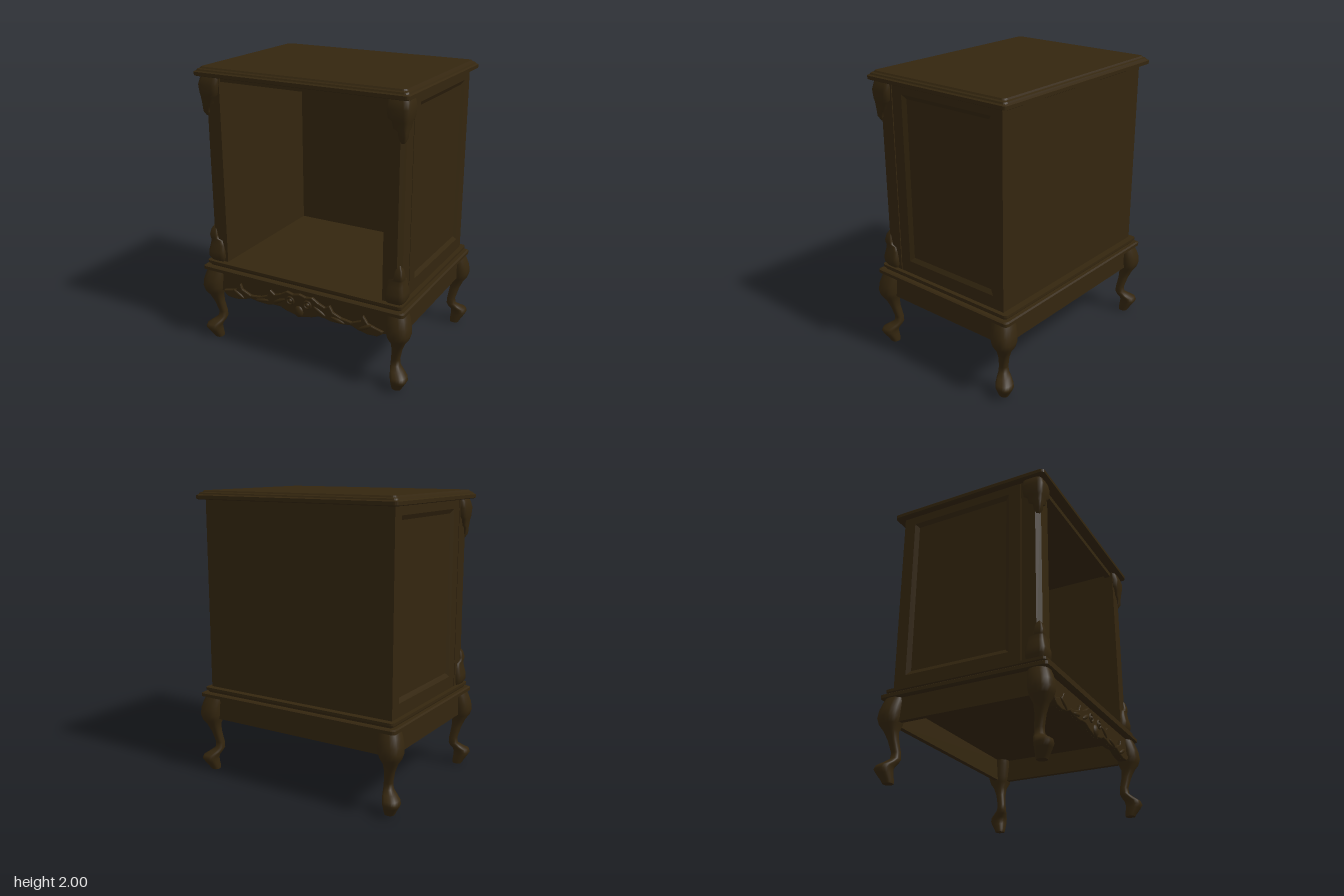
import * as THREE from 'three';

const wood = new THREE.MeshStandardMaterial({ color: 0x34260f });
wood.name = 'dark brown wood';

// Surface through rings of [x, y, z] points, optionally capped.
function loft(rings, { caps = true, flat = false } = {}) {
  const n = rings[0].length, pos = rings.flat(2), index = [];
  for (let k = 0; k < rings.length - 1; k++) {
    for (let j = 0; j < n; j++) {
      const a = k * n + j, b = k * n + (j + 1) % n;
      index.push(a, a + n, b, b, a + n, b + n);
    }
  }
  if (caps) {
    [rings[0], rings[rings.length - 1]].forEach((ring, top) => {
      const start = pos.length / 3;
      const mid = [0, 1, 2].map(i => ring.reduce((s, p) => s + p[i], 0) / n);
      pos.push(...ring.flat(), ...mid);
      for (let j = 0; j < n; j++) {
        const a = start + j, b = start + (j + 1) % n;
        if (top) index.push(start + n, b, a); else index.push(start + n, a, b);
      }
    });
  }
  let g = new THREE.BufferGeometry();
  g.setAttribute('position', new THREE.Float32BufferAttribute(pos, 3));
  g.setIndex(index);
  if (flat) g = g.toNonIndexed();
  g.computeVertexNormals();
  return g;
}

// Rounded rectangle ring for mouldings.
function rectRing(hx, hz, y, r = 0.025) {
  const out = [];
  for (let q = 0; q < 4; q++) {
    const sx = q === 0 || q === 3 ? 1 : -1, sz = q < 2 ? 1 : -1;
    for (let i = 0; i <= 4; i++) {
      const t = (q + i / 4) * Math.PI / 2;
      out.push([sx * (hx - r) + r * Math.cos(t), y, sz * (hz - r) + r * Math.sin(t)]);
    }
  }
  return out;
}

// Corner solid from [y, inner, outer] rows; power sets how square the section is.
function cornerLoft(rows, sx, sz, power) {
  const bend = v => Math.sign(v) * Math.pow(Math.abs(v), 2 / power);
  return loft(rows.map(([y, inner, outer]) => {
    const c = (inner + outer) / 2, r = (outer - inner) / 2, ring = [];
    for (let j = 0; j < 20; j++) {
      const t = j / 20 * Math.PI * 2;
      ring.push([sx * c + r * bend(Math.cos(t)), y, sz * (c - 0.2) + r * bend(Math.sin(t))]);
    }
    return ring;
  }));
}

const LEG = [[0, 0.69, 0.755], [0.02, 0.688, 0.765], [0.06, 0.69, 0.79], [0.085, 0.69, 0.803],
  [0.11, 0.685, 0.795], [0.135, 0.672, 0.76], [0.16, 0.665, 0.73], [0.2, 0.667, 0.725],
  [0.28, 0.678, 0.745], [0.34, 0.678, 0.77], [0.38, 0.66, 0.798], [0.42, 0.65, 0.81],
  [0.47, 0.645, 0.805], [0.52, 0.64, 0.79], [0.555, 0.64, 0.775]];
const UPPER_LEAF = [[1.67, 0.7, 0.725], [1.7, 0.69, 0.742], [1.74, 0.685, 0.745], [1.76, 0.652, 0.75],
  [1.8, 0.645, 0.755], [1.82, 0.617, 0.762], [1.88, 0.607, 0.768], [1.92, 0.607, 0.758], [1.94, 0.607, 0.75]];
const LOWER_LEAF = [[0.62, 0.63, 0.745], [0.65, 0.622, 0.762], [0.69, 0.622, 0.762], [0.74, 0.63, 0.75],
  [0.775, 0.642, 0.744], [0.785, 0.675, 0.745], [0.81, 0.68, 0.748], [0.85, 0.688, 0.738], [0.88, 0.7, 0.72]];

// Scalloped apron edge and the carved relief's upper edge, right half.
const SCALLOP = [[0, 0.357], [0.05, 0.368], [0.1, 0.378], [0.15, 0.398], [0.2, 0.397], [0.25, 0.386],
  [0.33, 0.388], [0.4, 0.398], [0.45, 0.378], [0.52, 0.364], [0.59, 0.368], [0.62, 0.388], [0.65, 0.395]];
const CREST = [[0.63, 0.41], [0.57, 0.425], [0.52, 0.44], [0.485, 0.49], [0.47, 0.45], [0.4, 0.42],
  [0.32, 0.43], [0.26, 0.455], [0.235, 0.5], [0.2, 0.475], [0.15, 0.495], [0.1, 0.525], [0.05, 0.515], [0, 0.528]];

function mirroredShape(half) {
  const left = half.filter(p => p[0] > 0).reverse().map(([x, y]) => [-x, y]);
  return new THREE.Shape([...half, ...left].map(p => new THREE.Vector2(...p)));
}

export function createModel() {
  const model = new THREE.Group();
  model.name = 'nightstand';
  const add = (name, geometry, parent = model) => {
    const m = new THREE.Mesh(geometry, wood);
    m.name = name;
    parent.add(m);
    return m;
  };
  const box = (name, x0, x1, y0, y1, z0, z1) => add(name, new THREE.BoxGeometry(x1 - x0, y1 - y0, z1 - z0)
    .translate((x0 + x1) / 2, (y0 + y1) / 2, (z0 + z1) / 2));
  // Rows of [half width, y]; depth is inset by the same amount.
  const moulding = (name, rows) =>
    add(name, loft(rows.map(([h, y]) => rectRing(h, h - 0.19, y)), { flat: true }));

  moulding('tabletop', [[0.765, 1.94], [0.775, 1.945], [0.775, 1.968], [0.763, 1.975], [0.758, 1.985], [0.745, 1.99], [0.738, 2]]);
  moulding('upperBaseMoulding', [[0.745, 0.58], [0.75, 0.595], [0.76, 0.602], [0.76, 0.62]]);
  moulding('lowerBaseMoulding', [[0.765, 0.55], [0.783, 0.556], [0.783, 0.578], [0.772, 0.585]]);

  // Open cabinet shell
  box('backPanel', -0.73, 0.73, 0.62, 1.94, -0.525, -0.5);
  box('ceiling', -0.61, 0.61, 1.925, 1.942, -0.5, 0.5);
  box('topRail', -0.61, 0.61, 1.905, 1.942, 0.47, 0.515);

  for (const sx of [-1, 1]) {
    const side = sx > 0 ? 'left' : 'right';
    const inner = sx * 0.605, outer = sx * 0.712;
    box(side + 'Wall', Math.min(inner, outer), Math.max(inner, outer), 0.62, 1.94, -0.5, 0.42);

    // Front post with a chamfered outer corner
    const post = [[0.605, 0.4], [0.73, 0.4], [0.73, 0.5], [0.703, 0.53], [0.605, 0.53]];
    if (sx < 0) post.reverse();
    add(side + 'Post', loft([0.62, 1.94].map(y => post.map(([x, z]) => [sx * x, y, z])), { flat: true }));

    // Side frame around a sunken panel with sloping edges
    const rect = (z0, z1, y0, y1) => {
      const u = [-sx * z0, -sx * z1].sort((a, b) => a - b);
      return [[u[0], y0], [u[1], y0], [u[1], y1], [u[0], y1]];
    };
    const toPath = (pts, Type) => new Type(pts.map(p => new THREE.Vector2(...p)));
    const hole = rect(-0.44, 0.31, 0.71, 1.88), sunk = rect(-0.41, 0.28, 0.74, 1.85);
    const frame = toPath(rect(-0.525, 0.393, 0.62, 1.94), THREE.Shape);
    frame.holes.push(toPath(hole, THREE.Path));
    const panel = new THREE.Group();
    panel.name = side + 'SidePanel';
    panel.rotation.y = sx * Math.PI / 2;
    panel.position.x = outer;
    model.add(panel);
    add('panelFrame', new THREE.ExtrudeGeometry(frame, { depth: 0.018, bevelEnabled: false }), panel);
    add('panelBevel', loft([sunk.map(p => [...p, 0.001]), hole.map(p => [...p, 0.018])],
      { caps: false, flat: true }), panel);

    // Carved corner leaves, legs and side apron
    add(side + 'UpperLeaf', cornerLoft(UPPER_LEAF, sx, 1, 4));
    add(side + 'LowerLeaf', cornerLoft(LOWER_LEAF, sx, 1, 4));
    for (const sz of [-1, 1]) add(side + (sz > 0 ? 'FrontLeg' : 'BackLeg'), cornerLoft(LEG, sx, sz, 2.5));
    const a = [sx * 0.71, sx * 0.745].sort((p, q) => p - q);
    box(side + 'Apron', a[0], a[1], 0.392, 0.555, -0.47, 0.47);
  }
  box('backApron', -0.67, 0.67, 0.392, 0.555, -0.545, -0.51);

  // Scalloped front apron with raised carving
  add('frontApron', new THREE.ExtrudeGeometry(mirroredShape([...SCALLOP, [0.67, 0.4], [0.67, 0.555]]),
    { depth: 0.035, bevelEnabled: false }).translate(0, 0, 0.51));
  add('apronCarving', new THREE.ExtrudeGeometry(mirroredShape([...SCALLOP.slice(0, -1), ...CREST]),
    { depth: 0.012, bevelThickness: 0.008, bevelSize: 0.006, bevelOffset: -0.006, bevelSegments: 2 })
    .translate(0, 0, 0.546));
  for (const sx of [-1, 1]) {
    add('rosette', new THREE.TorusGeometry(0.026, 0.008, 8, 20).translate(sx * 0.068, 0.465, 0.567));
    add('rosetteBead', new THREE.SphereGeometry(0.016, 12, 8).translate(sx * 0.068, 0.465, 0.565));
    for (const [x, y, turn] of [[0.16, 0.44, -0.5], [0.3, 0.41, -0.2], [0.5, 0.41, 0.5]]) {
      add('carvedLeaf', new THREE.SphereGeometry(1, 14, 8).scale(0.055, 0.014, 0.012)
        .rotateZ(sx * turn).translate(sx * x, y, 0.566));
    }
  }
  add('centreLeaf', new THREE.SphereGeometry(1, 14, 10).scale(0.035, 0.042, 0.02).translate(0, 0.4, 0.566));
  return model;
}
